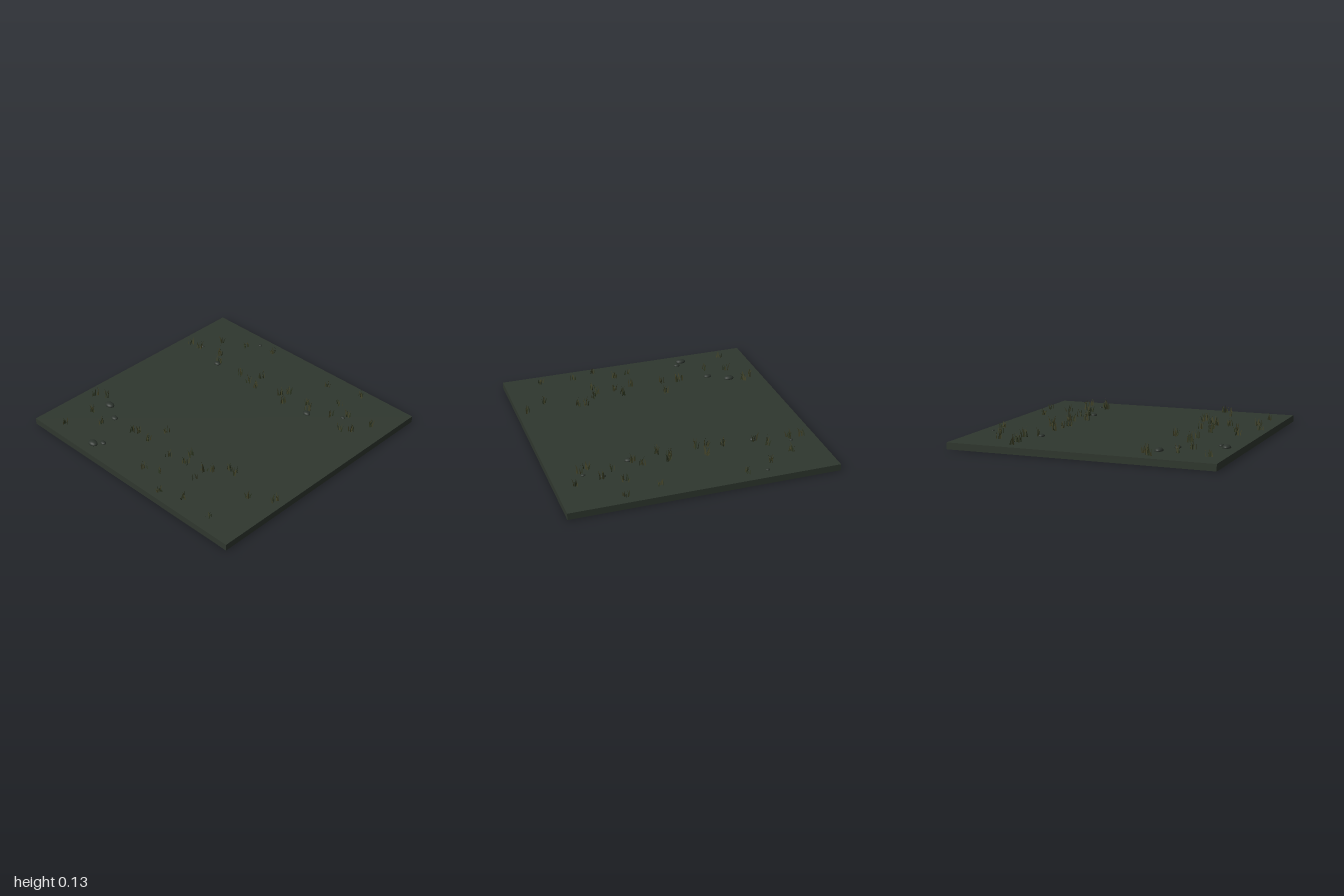
import * as THREE from 'three';

const GROUND_Y = 0.05;

// Small seeded random generator
function makeRandom(seed) {
  let s = seed;
  return () => {
    s = (s * 16807) % 2147483647;
    return s / 2147483647;
  };
}

// Tuft of curved blades; every blade lies in its own upright plane
function tuftGeometry(rand, blades, size) {
  const pos = [];
  for (let i = 0; i < blades; i++) {
    const a = rand() * Math.PI * 2;
    const r = rand() * 0.026;
    const ox = Math.cos(a) * r, oz = Math.sin(a) * r;
    const yaw = rand() * Math.PI * 2;
    const cx = Math.cos(yaw), cz = Math.sin(yaw);
    const h = size * (0.55 + 0.45 * rand());
    const w = 0.004 + rand() * 0.002;
    const lean = 0.004 + rand() * 0.018;
    const p = (u, y) => [ox + cx * u, y, oz + cz * u];
    const a0 = p(-w, 0), b0 = p(w, 0);
    const a1 = p(-w * 0.7 + lean * 0.3, h * 0.5), b1 = p(w * 0.7 + lean * 0.3, h * 0.5);
    const tip = p(lean, h);
    pos.push(...a0, ...b0, ...b1, ...a0, ...b1, ...a1, ...a1, ...b1, ...tip);
  }
  const g = new THREE.BufferGeometry();
  g.setAttribute('position', new THREE.Float32BufferAttribute(pos, 3));
  g.computeVertexNormals();
  return g;
}

export function createModel() {
  const group = new THREE.Group();
  const rand = makeRandom(4711);
  const material = (name, color, side = THREE.FrontSide) => {
    const m = new THREE.MeshStandardMaterial({ color, side });
    m.name = name;
    return m;
  };
  const ground = material('dark moss green', 0x2f372e);
  const stone = material('dark stone', 0x2c332d);
  const olive = material('olive grass', 0x45452a, THREE.DoubleSide);
  const deep = material('deep green grass', 0x2e3722, THREE.DoubleSide);

  // Ground slab
  const slab = new THREE.Mesh(new THREE.BoxGeometry(2, GROUND_Y, 2), ground);
  slab.name = 'groundSlab';
  slab.position.y = GROUND_Y / 2;
  group.add(slab);

  // Flattened half-buried stones: x, z, radius
  const stones = [
    [-0.73, 0.5, 0.04], [-0.58, 0.585, 0.03], [-0.41, 0.845, 0.025], [-0.46, 0.9, 0.04],
    [-0.48, -0.905, 0.016], [-0.805, -0.57, 0.014], [-0.545, -0.475, 0.03],
    [0.41, -0.47, 0.031], [0.64, -0.62, 0.019], [0.77, -0.565, 0.017],
  ];
  const stoneGeometry = new THREE.SphereGeometry(1, 16, 10);
  for (const [x, z, r] of stones) {
    const mesh = new THREE.Mesh(stoneGeometry, stone);
    mesh.name = 'stone';
    mesh.scale.set(r, r * 0.5, r * 0.75);
    mesh.position.set(x, GROUND_Y + r * 0.1, z);
    group.add(mesh);
  }

  // Grass tufts in two bands, leaving a bare path between: x, z
  const frontTufts = [
    [-0.79, 0.88], [-0.9, 0.49], [-0.83, 0.44], [-0.35, 0.6], [-0.32, 0.58], [-0.17, 0.43],
    [-0.19, 0.6], [0.05, 0.62], [0.14, 0.79], [0.16, 0.5], [0.19, 0.59], [0.35, 0.56],
    [0.39, 0.51], [0.47, 0.43], [0.53, 0.43], [0.36, 0.67], [0.02, 0.83], [0.46, 0.87],
    [0.72, 0.88], [0.78, 0.55], [0.93, 0.45], [-0.6, 0.7], [-0.76, 0.65], [0.28, 0.93],
  ];
  const backTufts = [
    [-0.9, -0.53], [-0.81, -0.53], [-0.61, -0.58], [-0.54, -0.5], [-0.55, -0.81], [-0.3, -0.49],
    [-0.19, -0.47], [-0.15, -0.57], [-0.1, -0.46], [0.11, -0.51], [0.14, -0.57], [0.19, -0.44],
    [0.33, -0.56], [0.39, -0.5], [-0.33, -0.9], [0.56, -0.56], [0.72, -0.49], [0.79, -0.53],
    [0.56, -0.92], [0.86, -0.68], [0.3, -0.85], [0.51, -0.73], [-0.74, -0.72], [0.65, -0.65],
  ];
  for (const [name, tufts] of [['frontGrassTuft', frontTufts], ['backGrassTuft', backTufts]]) {
    tufts.forEach(([x, z], i) => {
      const tuft = new THREE.Group();
      tuft.name = name;
      tuft.position.set(x, GROUND_Y, z);
      // Taller near the path, shorter towards the outer edge
      const size = 0.084 - Math.max(0, Math.abs(z) - 0.6) * 0.08;
      const tall = new THREE.Mesh(tuftGeometry(rand, 4 + (i % 3), size), olive);
      tall.name = 'oliveBlades';
      const low = new THREE.Mesh(tuftGeometry(rand, 4, size * 0.85), deep);
      low.name = 'greenBlades';
      tuft.add(tall, low);
      group.add(tuft);
    });
  }
  return group;
}
